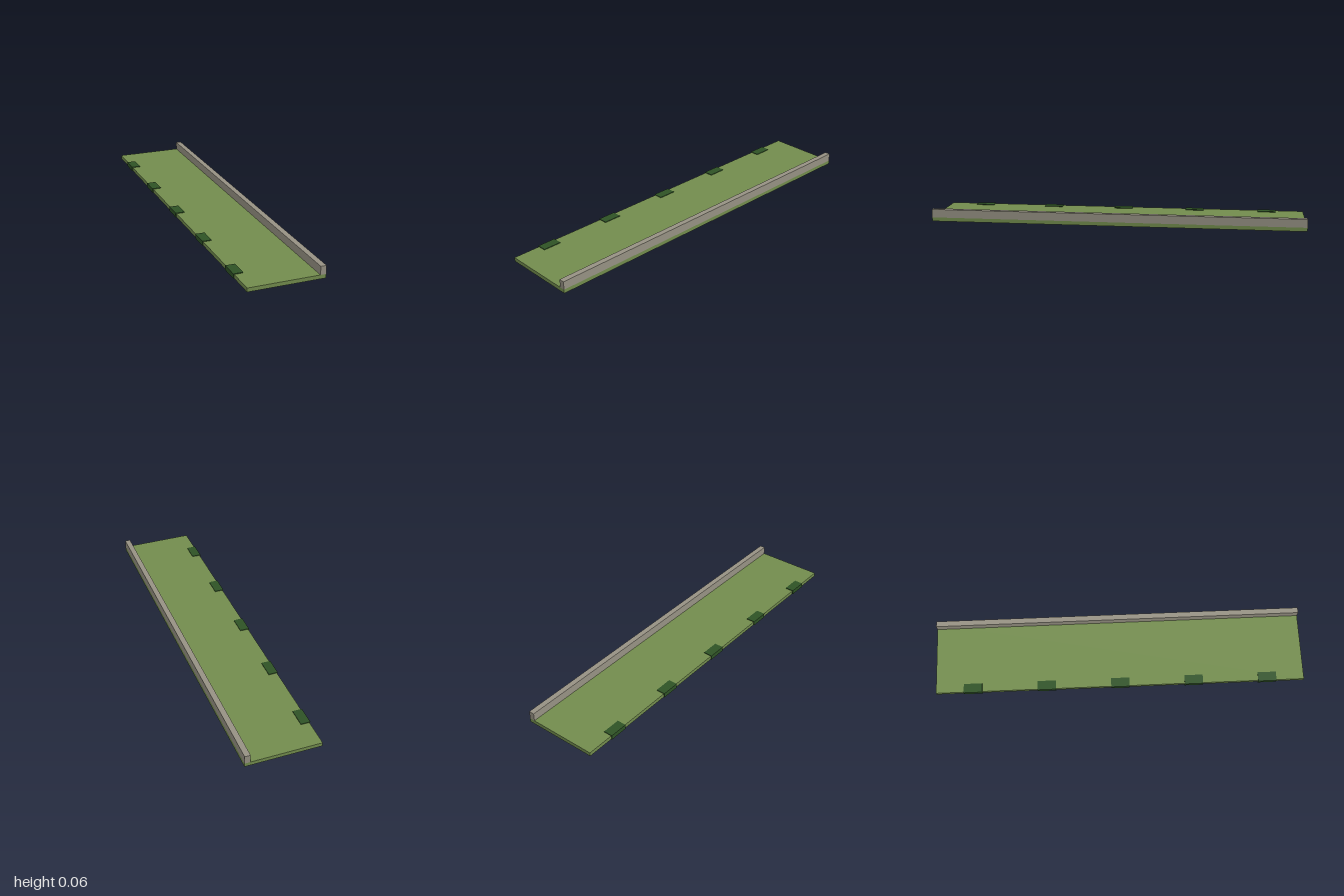
import * as THREE from 'three';

export function createModel() {
  const model = new THREE.Group();
  model.name = 'edgedGrassStrip';

  const material = (name, color) => {
    const m = new THREE.MeshStandardMaterial({ color });
    m.name = name;
    return m;
  };
  const grass = material('grass green', 0x728c4d);
  const tuft = material('dark green', 0x2e5225);
  const stone = material('warm grey', 0x969183);

  // Box given by its lower and upper corners
  const box = (name, mat, [x0, y0, z0], [x1, y1, z1]) => {
    const mesh = new THREE.Mesh(new THREE.BoxGeometry(x1 - x0, y1 - y0, z1 - z0), mat);
    mesh.position.set((x0 + x1) / 2, (y0 + y1) / 2, (z0 + z1) / 2);
    mesh.name = name;
    model.add(mesh);
  };

  // Long flat slab with a raised kerb along its left edge
  box('slab', grass, [-0.199, 0.0004, -1], [0.2015, 0.021, 1]);
  box('kerb', stone, [0.1715, 0.021, -1], [0.2015, 0.065, 1]);

  // Five tufts wrapped over the right edge
  for (let i = -2; i <= 2; i++) {
    const z = i * 0.4;
    box('edgeTuft', tuft, [-0.2035, 0, z - 0.05], [-0.1535, 0.0245, z + 0.05]);
  }
  return model;
}
